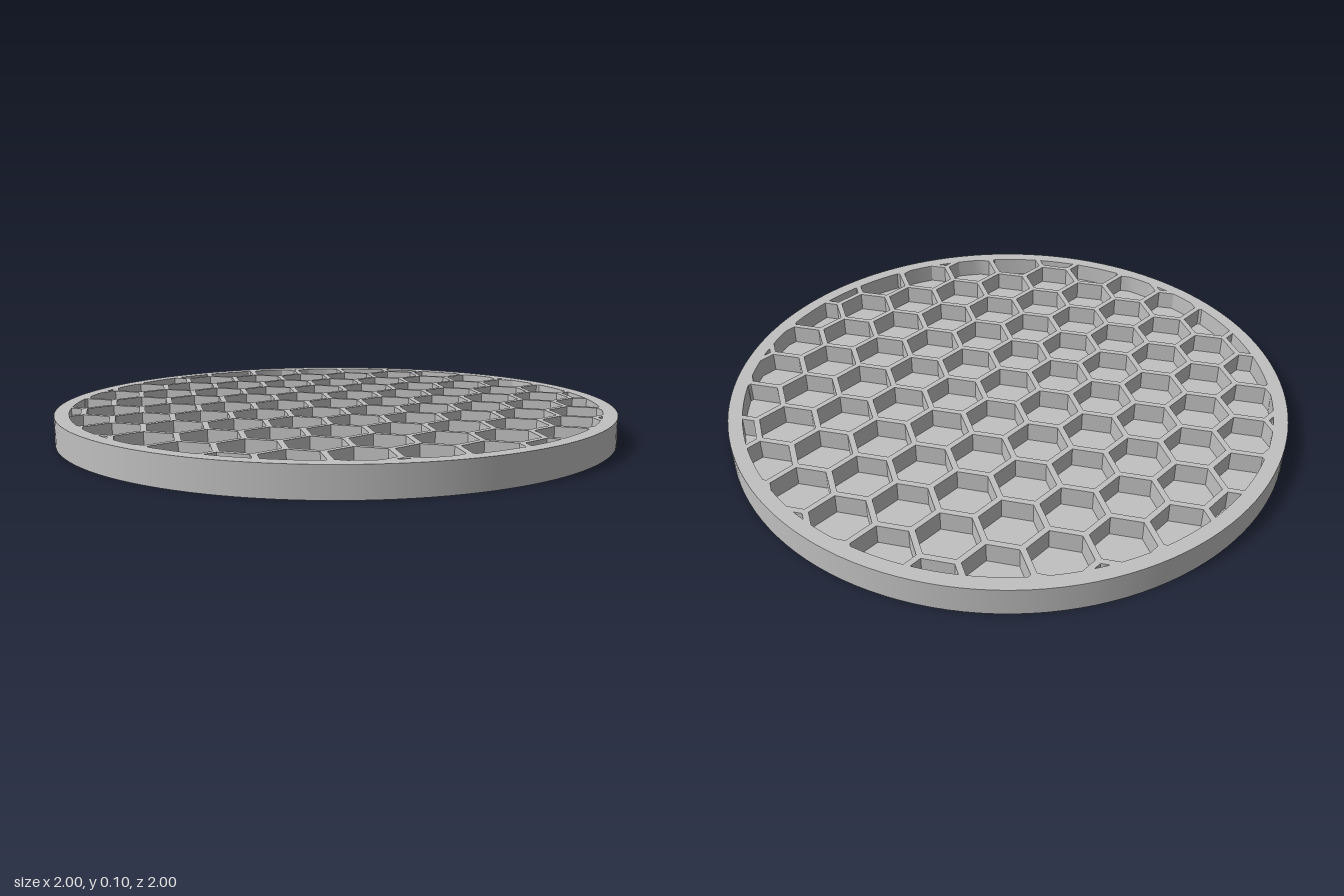
import * as THREE from 'three';
import { toCreasedNormals } from 'three/addons/utils/BufferGeometryUtils.js';

const HEIGHT = 0.1, FLOOR = 0.03;   // overall height and height of the cell floors
const INNER = 0.95;                 // radius where the cells stop
const PITCH = 0.2, APOTHEM = 0.09;  // honeycomb spacing and half width of a cell
const SEGMENTS = 128;

const ring = (n, r, cx = 0, cy = 0) => Array.from({ length: n }, (_, i) => {
  const a = (i / n) * Math.PI * 2;
  return new THREE.Vector2(cx + r * Math.cos(a), cy + r * Math.sin(a));
});

// Trim a convex outline by every edge of a convex counter-clockwise border
function clip(points, border) {
  border.forEach((a, i) => {
    const edge = border[(i + 1) % border.length].clone().sub(a);
    const side = p => edge.x * (p.y - a.y) - edge.y * (p.x - a.x);
    const kept = [];
    points.forEach((p, j) => {
      const q = points[(j + 1) % points.length];
      const sp = side(p), sq = side(q);
      if (sp >= 0) kept.push(p);
      if ((sp >= 0) !== (sq >= 0)) kept.push(p.clone().lerp(q, sp / (sp - sq)));
    });
    points = kept;
  });
  // drop repeated corners
  return points.filter((p, i) => p.distanceTo(points[(i + 1) % points.length]) > 1e-5);
}

// Flat-sided hexagons in staggered columns, trimmed to the round rim
function honeycomb() {
  const border = ring(SEGMENTS, INNER);
  const cells = [];
  for (let col = -7; col <= 7; col++) {
    for (let row = -7; row <= 7; row++) {
      const x = col * PITCH * Math.sqrt(3) / 2;
      const y = (row + (Math.abs(col) % 2) / 2) * PITCH;
      const cell = clip(ring(6, APOTHEM * 2 / Math.sqrt(3), x, y), border);
      if (cell.length > 2 && THREE.ShapeUtils.area(cell) > 1e-4) cells.push(cell);
    }
  }
  return cells;
}

// Inward-facing walls around every cell
function wallGeometry(cells) {
  const pos = [];
  for (const cell of cells) {
    cell.forEach((p, i) => {
      const q = cell[(i + 1) % cell.length];
      pos.push(p.x, p.y, FLOOR, p.x, p.y, HEIGHT, q.x, q.y, HEIGHT);
      pos.push(p.x, p.y, FLOOR, q.x, q.y, HEIGHT, q.x, q.y, FLOOR);
    });
  }
  const geo = new THREE.BufferGeometry();
  geo.setAttribute('position', new THREE.Float32BufferAttribute(pos, 3));
  return toCreasedNormals(geo, 0.5);
}

export function createModel() {
  const model = new THREE.Group();
  model.name = 'honeycombDisc';
  const grey = new THREE.MeshStandardMaterial({ color: 0xc0c0c0 });
  grey.name = 'lightGrey';
  const add = (name, geo) => {
    const mesh = new THREE.Mesh(geo, grey);
    mesh.name = name;
    model.add(mesh);
    return mesh;
  };
  const cells = honeycomb();

  // Outer wall and underside
  add('outerWall', new THREE.CylinderGeometry(1, 1, HEIGHT, SEGMENTS, 1, true)
    .rotateY(Math.PI / 2).translate(0, HEIGHT / 2, 0));
  add('underside', new THREE.CircleGeometry(1, SEGMENTS).rotateX(Math.PI / 2));

  // Top face: rim and honeycomb ribs, pierced by the cells
  const top = new THREE.Shape(ring(SEGMENTS, 1));
  top.holes = cells.map(cell => new THREE.Path(cell));
  add('rimAndRibs', new THREE.ShapeGeometry(top).rotateX(-Math.PI / 2).translate(0, HEIGHT, 0));

  // Cell walls and floors
  add('cellWalls', wallGeometry(cells).rotateX(-Math.PI / 2));
  add('cellFloors', new THREE.ShapeGeometry(cells.map(cell => new THREE.Shape(cell)))
    .rotateX(-Math.PI / 2).translate(0, FLOOR, 0));

  return model;
}
